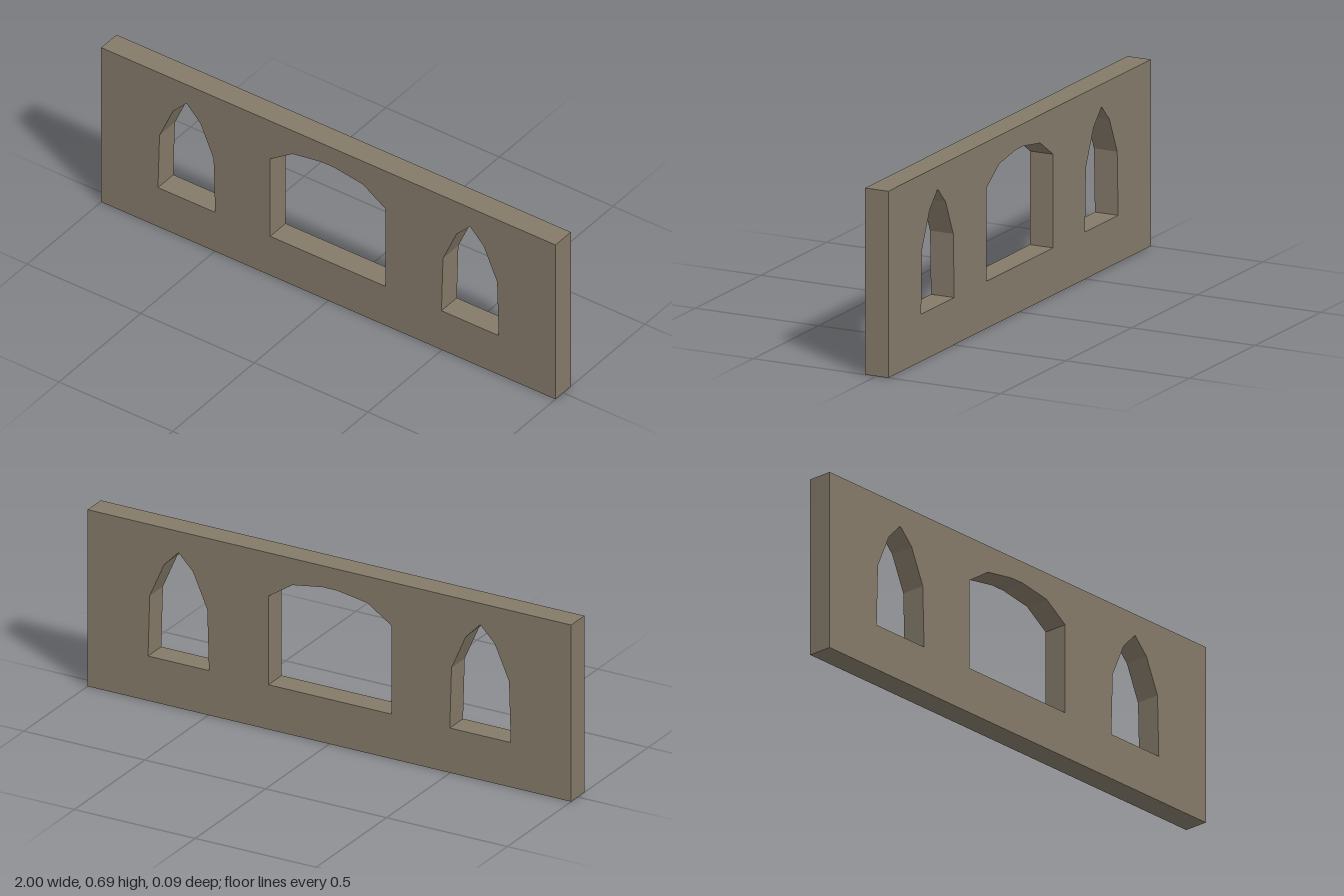
import * as THREE from 'three';

const HEIGHT = 0.692, DEPTH = 0.094, SILL = 0.175;

// Symmetric opening: half-profile points [half width, y] from the sill up
function opening(cx, half) {
  const right = half.map(([w, y]) => new THREE.Vector2(cx + w, y));
  const left = half.filter(([w]) => w > 0).map(([w, y]) => new THREE.Vector2(cx - w, y)).reverse();
  return new THREE.Path([...right, ...left]);
}

export function createModel() {
  const stone = new THREE.MeshStandardMaterial({ color: 0x847a69 });
  stone.name = 'stone';

  // Wall slab outline
  const wallShape = new THREE.Shape([
    new THREE.Vector2(-1, 0), new THREE.Vector2(1, 0),
    new THREE.Vector2(1, HEIGHT), new THREE.Vector2(-1, HEIGHT),
  ]);

  // Pointed lancet windows on both sides
  const lancet = [[0.126, SILL], [0.119, 0.413], [0.06, 0.547], [0, 0.608]];
  for (const side of [-1, 1]) wallShape.holes.push(opening(side * 0.624, lancet));

  // Wide central window with a shallow faceted arch
  const arch = [[0.254, SILL], [0.254, 0.522], [0.155, 0.588], [0.03, 0.608]];
  wallShape.holes.push(opening(-0.002, arch));

  const geometry = new THREE.ExtrudeGeometry(wallShape, { depth: DEPTH, bevelEnabled: false });
  geometry.translate(0, 0, -DEPTH / 2);

  const wall = new THREE.Mesh(geometry, stone);
  wall.name = 'windowWall';
  const group = new THREE.Group();
  group.name = 'wallSection';
  group.add(wall);
  return group;
}
